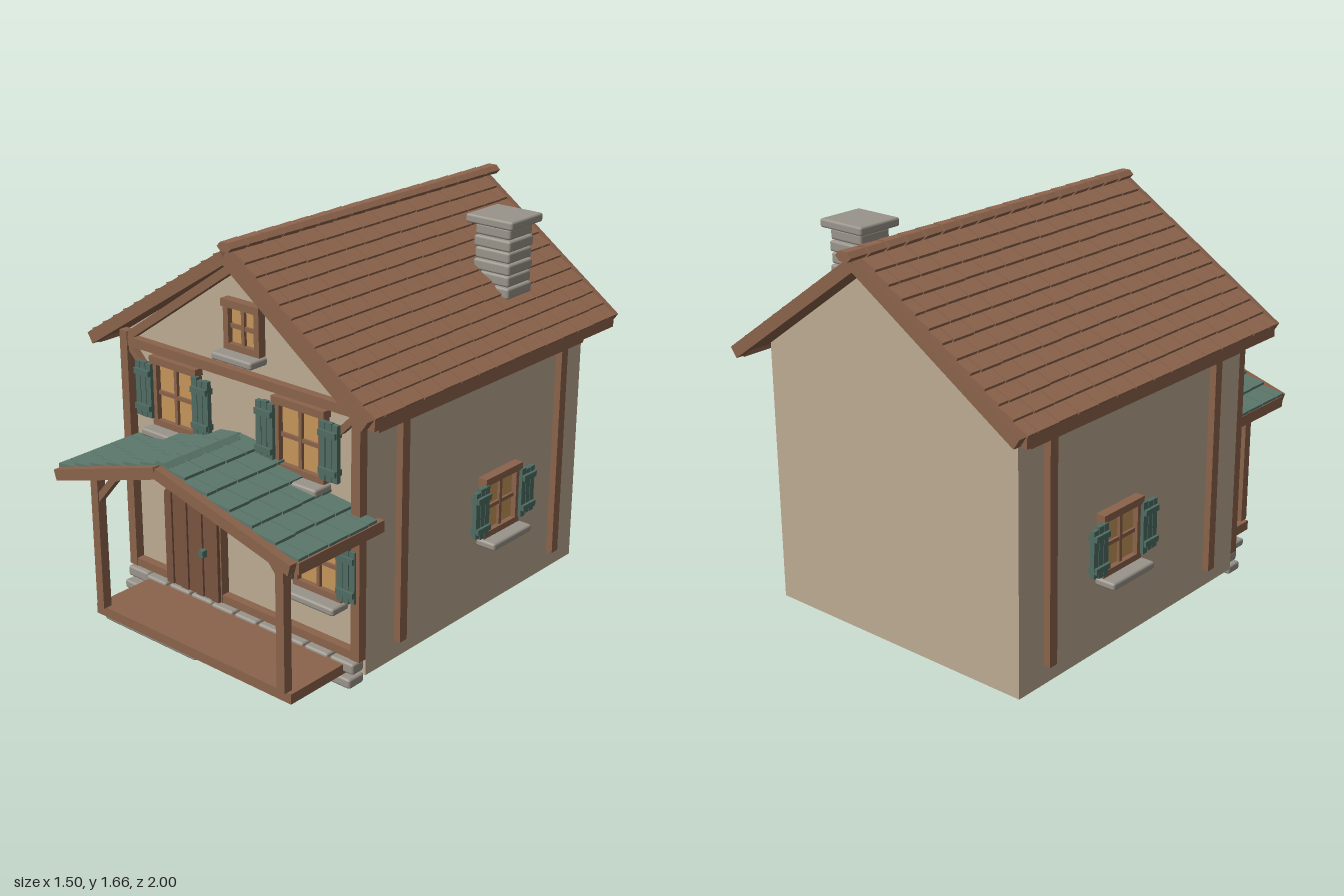
import * as THREE from 'three';
import { RoundedBoxGeometry } from 'three/addons/geometries/RoundedBoxGeometry.js';

const paint = (name, color) => {
  const m = new THREE.MeshStandardMaterial({ color });
  m.name = name;
  return m;
};
const wall = paint('plaster', 0xbcab92), wood = paint('timber', 0x8a624b);
const doorWood = paint('doorWood', 0x79533f), clay = paint('clayTile', 0x8e654d);
const green = paint('greenTile', 0x5c786d), shutterGreen = paint('shutterGreen', 0x4f6c62);
const stone = paint('stone', 0x99948a), glass = paint('litGlass', 0xc4955a);

let seed = 7;
const rnd = () => (seed = (seed * 16807) % 2147483647) / 2147483647;

function add(parent, name, geo, mat, x = 0, y = 0, z = 0) {
  const m = new THREE.Mesh(geo, mat);
  m.name = name;
  m.position.set(x, y, z);
  parent.add(m);
  return m;
}
// Box given by its extents
function box(parent, name, mat, x0, x1, y0, y1, z0, z1) {
  return add(parent, name, new THREE.BoxGeometry(x1 - x0, y1 - y0, z1 - z0), mat,
    (x0 + x1) / 2, (y0 + y1) / 2, (z0 + z1) / 2);
}
// Stone block with chamfered edges
function block(parent, name, x0, x1, y0, y1, z0, z1) {
  const geo = new RoundedBoxGeometry(x1 - x0, y1 - y0, z1 - z0, 1, 0.01);
  return add(parent, name, geo, stone, (x0 + x1) / 2, (y0 + y1) / 2, (z0 + z1) / 2);
}
// Sloping timber between two points in the xy plane
function beam(parent, name, [ax, ay], [bx, by], thick, z0, z1) {
  const m = add(parent, name, new THREE.BoxGeometry(Math.hypot(bx - ax, by - ay), thick, z1 - z0), wood,
    (ax + bx) / 2, (ay + by) / 2, (z0 + z1) / 2);
  m.rotation.z = Math.atan2(by - ay, bx - ax);
  return m;
}
function extrude(points, depth) {
  const s = new THREE.Shape(points.map(([x, y]) => new THREE.Vector2(x, y)));
  return new THREE.ExtrudeGeometry(s, { depth, bevelEnabled: false });
}

// One roof slope: boarding covered with staggered, overlapping tiles
function slope(parent, name, ridge, eave, z0, z1, courses, perRow, mat) {
  const g = new THREE.Group();
  g.name = name;
  const dx = eave[0] - ridge[0], dy = eave[1] - ridge[1], s = Math.sign(dx);
  const len = Math.hypot(dx, dy), step = len / courses, pitch = (z1 - z0) / perRow;
  g.position.set(ridge[0], ridge[1], 0);
  g.rotation.z = Math.atan2(dy, dx);
  box(g, 'roofBoards', wood, 0, len, -0.015, 0.015, z0, z1);
  for (let r = 0; r < courses; r++) {
    const shift = r % 2 ? pitch / 2 : 0;
    for (let c = 0; c <= perRow; c++) {
      const a = Math.max(z0, z0 + c * pitch - shift), b = Math.min(z1, z0 + (c + 1) * pitch - shift);
      if (b - a < 0.01) continue;
      const long = step * (1.1 + 0.08 * rnd());
      const t = add(g, 'tile', new THREE.BoxGeometry(long, 0.012, b - a - 0.005), mat,
        (r + 0.5) * step, s * 0.024, (a + b) / 2);
      t.rotation.z = s * 0.16;
    }
  }
  parent.add(g);
}
// Row of six-sided cap tiles along a ridge
function ridgeCaps(parent, x, y, z0, z1, n, mat) {
  const p = (z1 - z0) / n;
  for (let i = 0; i < n; i++) {
    const geo = new THREE.CylinderGeometry(0.037, 0.04, p * 0.9, 6).rotateY(Math.PI / 6).rotateX(Math.PI / 2);
    geo.scale(1, 0.55, 1);
    add(parent, 'ridgeCap', geo.toNonIndexed(), mat, x, y, z0 + (i + 0.5) * p).geometry.computeVertexNormals();
  }
}

// Window facing +z, wall surface at z = 0, origin at the middle of its frame
function makeWindow(name, w, h, shutterH) {
  const g = new THREE.Group();
  g.name = name;
  const x = w / 2, y = h / 2, f = 0.026;
  box(g, 'pane', glass, -x + f, x - f, -y + f, y - f, 0, 0.012);
  for (const s of [-1, 1]) {
    const c = s * (x - f / 2);
    box(g, 'frameSide', wood, c - f / 2, c + f / 2, -y, y, 0, 0.035);
  }
  box(g, 'frameTop', wood, -x - 0.006, x + 0.006, y - f, y + 0.004, 0, 0.042);
  box(g, 'frameBottom', wood, -x, x, -y, -y + f, 0, 0.035);
  box(g, 'mullion', wood, -0.008, 0.008, -y, y, 0, 0.025);
  box(g, 'crossBar', wood, -x, x, -0.012, 0.004, 0, 0.023);
  block(g, 'sill', -x - 0.012, x + 0.012, -y - 0.032, -y, 0, 0.095);
  if (shutterH) for (const s of [-1, 1]) {
    const c = s * (x + 0.036), k = shutterH / 2;
    for (let i = -1; i <= 1; i++) {
      const d = 0.012 * rnd();
      box(g, 'shutterPlank', shutterGreen, c + i * 0.03 - 0.0135, c + i * 0.03 + 0.0135, -k + d, k - d, 0.03, 0.05);
    }
    for (const b of [-0.6, 0.6])
      box(g, 'shutterBatten', shutterGreen, c - 0.042, c + 0.042, b * k - 0.012, b * k + 0.012, 0.02, 0.062);
  }
  return g;
}

export function createModel() {
  const house = new THREE.Group();
  house.name = 'house';
  const F = 0.54; // front wall plane

  // Walls with off-centre gable
  add(house, 'walls', extrude([[-0.635, 0.05], [0.635, 0.05], [0.635, 1.155], [0.04, 1.585], [-0.635, 1.155]], 1.38),
    wall, 0, 0, -0.84);

  // Front timber frame
  for (const s of [-1, 1]) {
    box(house, 'frontPost', wood, s * 0.615 - 0.021, s * 0.615 + 0.021, 0.12, 1.165, F, F + 0.04);
    beam(house, 'cornerBrace', [s * 0.525, 1.03], [s * 0.6, 1.105], 0.026, F, F + 0.03);
    beam(house, 'gableTimber', [s * 0.6, 1.14], [0.04, 1.575], 0.034, F, F + 0.035);
    // Side timbers
    const a = Math.min(s * 0.63, s * 0.665), b = a + 0.035;
    for (const z of [0.35, -0.678]) box(house, 'sidePost', wood, a, b, 0.13, 1.11, z - 0.021, z + 0.021);
    box(house, 'sideBeam', wood, a, b, 1.045, 1.082, -0.81, 0.51);
  }
  box(house, 'frontBeam', wood, -0.635, 0.635, 1.105, 1.143, F, F + 0.037);
  box(house, 'frontSillBeam', wood, -0.635, 0.635, 0.12, 0.155, F, F + 0.037);

  // Foundation stones
  for (let i = 0; i < 10; i++) {
    const x = -0.635 + i * 0.127, j = 0.012 * rnd();
    block(house, 'lowerStone', x + 0.003, x + 0.121, 0.02, 0.058 + j / 2, F, 0.62 + j);
    block(house, 'upperStone', x + 0.006 - j / 2, x + 0.124 - j / 2, 0.072, 0.118, F, 0.6 + j);
  }

  // Main roof
  const ridge = [0.04, 1.612];
  for (const [name, x] of [['rightSlope', -0.728], ['leftSlope', 0.72]]) {
    const eave = [x, 1.127];
    slope(house, name, ridge, eave, -0.925, 0.625, 12, 14, clay);
    beam(house, 'frontBargeboard', ridge, eave, 0.05, 0.62, 0.657);
    beam(house, 'backBargeboard', ridge, eave, 0.05, -0.957, -0.92);
    box(house, 'eaveBeam', wood, x - 0.016, x + 0.016, 1.102, 1.148, -0.92, 0.62);
  }
  ridgeCaps(house, 0.04, 1.648, -1, 0.655, 17, clay);

  // Chimney of stacked courses with a cap slab
  for (let i = 0; i < 8; i++) {
    const d = i % 2 ? 0.004 : 0, y = 1.195 + i * 0.0485;
    block(house, 'chimneyCourse', 0.367 + d, 0.545 - d, y, y + 0.046, -0.592 + d, -0.428 - d);
  }
  block(house, 'chimneyCap', 0.342, 0.57, 1.583, 1.62, -0.615, -0.402);

  // Windows
  const place = (name, w, h, sh, x, y, z, turn = 0) => {
    const g = makeWindow(name, w, h, sh);
    g.position.set(x, y, z);
    g.rotation.y = turn;
    house.add(g);
  };
  place('upperRightWindow', 0.25, 0.29, 0.25, -0.335, 0.945, F);
  place('upperLeftWindow', 0.25, 0.29, 0.25, 0.33, 0.945, F);
  place('groundWindow', 0.245, 0.27, 0.235, 0.418, 0.473, F);
  place('gableWindow', 0.185, 0.195, 0, 0.043, 1.318, F);
  place('leftSideWindow', 0.235, 0.26, 0.22, 0.635, 0.51, -0.27, Math.PI / 2);
  place('rightSideWindow', 0.235, 0.26, 0.22, -0.635, 0.51, -0.27, -Math.PI / 2);

  // Arched plank door
  const arch = (x) => 0.5 + 0.12 * Math.sqrt(1 - (x / 0.16) ** 2);
  const outline = [[0.154, 0.12]];
  for (let i = 0; i <= 12; i++) {
    const x = 0.154 - i * 0.308 / 12;
    outline.push([x, arch(x) + 0.004]);
  }
  outline.push([-0.154, 0.12]);
  add(house, 'doorBacking', extrude(outline, 0.04), wood, -0.243, 0, F);
  for (let i = 0; i < 7; i++) {
    const a = -0.152 + i * 0.0434, b = a + 0.039;
    add(house, 'doorPlank', extrude([[a, 0.122], [b, 0.122], [b, arch(b) - 0.008], [a, arch(a) - 0.008]],
      i % 2 ? 0.05 : 0.055), doorWood, -0.243, 0, F);
  }
  box(house, 'doorHandle', shutterGreen, -0.182, -0.158, 0.31, 0.34, F + 0.05, F + 0.075);

  // Porch deck and steps
  box(house, 'porchDeck', wood, -0.49, 0.58, 0.063, 0.105, 0.58, 0.897);
  block(house, 'lowerStep', -0.505, 0.025, 0.008, 0.042, 0.73, 0.847);
  block(house, 'upperStep', -0.48, 0, 0.034, 0.062, 0.675, 0.79);

  // Porch posts and braces
  for (const [x, s] of [[-0.452, 1], [0.54, -1]]) {
    box(house, 'porchPost', wood, x - 0.02, x + 0.02, 0.105, 0.715, 0.87, 0.91);
    beam(house, 'porchBrace', [x + s * 0.01, 0.585], [x + s * 0.11, 0.7], 0.028, 0.875, 0.905);
  }

  // Porch roof
  const top = [0, 0.855];
  for (const [name, x] of [['porchRightSlope', -0.575], ['porchLeftSlope', 0.672]]) {
    const eave = [x, 0.682];
    slope(house, name, top, eave, F, 0.968, 6, 4, green);
    beam(house, 'porchBargeboard', top, eave, 0.046, 0.963, 1);
    box(house, 'porchEaveBeam', wood, x - 0.016, x + 0.016, 0.657, 0.704, 0.5, 0.965);
  }
  ridgeCaps(house, 0, 0.873, 0.575, 0.97, 4, green);

  // Hanging lantern
  box(house, 'lanternGlass', glass, 0.377, 0.419, 0.512, 0.572, 0.7, 0.738);

  return house;
}
